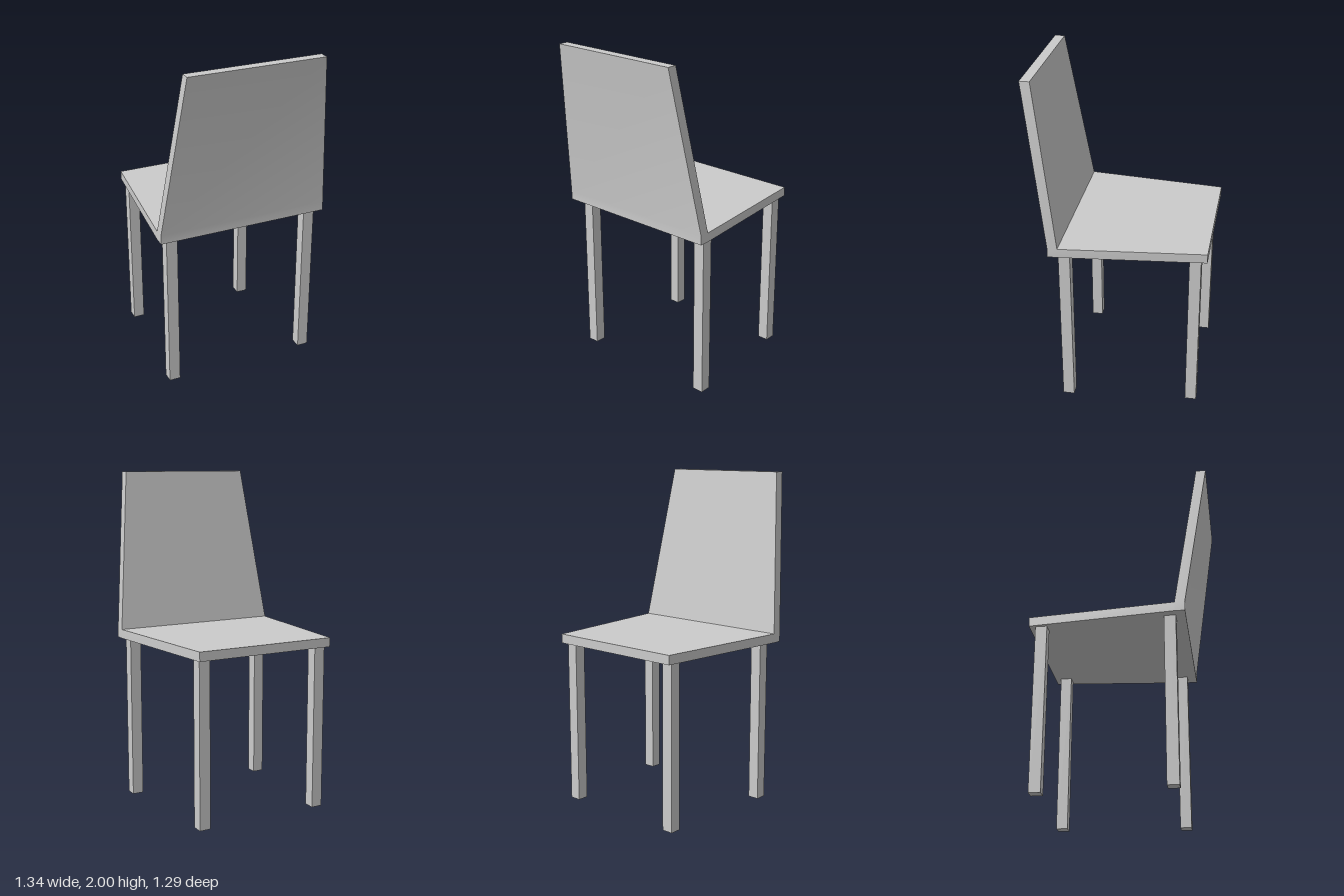
import * as THREE from 'three';
import { toCreasedNormals } from 'three/addons/utils/BufferGeometryUtils.js';

// Side profile of seat and backrest: [depth z, height y, half width]
const PROFILE = [
  [-0.52, 0.99, 0.434], [0.331, 0.99, 0.519], [0.39, 0.99, 0.519], [0.39, 1.045, 0.519],
  [0.533, 2, 0.408], [0.474, 2, 0.408], [0.331, 1.045, 0.519], [-0.52, 1.045, 0.434],
];
const SIDE_QUADS = [[0, 1, 6, 7], [1, 2, 3, 6], [3, 4, 5, 6]];

function shellGeometry() {
  const positions = [];
  const point = (i, side) => [side * PROFILE[i][2], PROFILE[i][1], PROFILE[i][0]];
  const quad = (a, b, c, d) => positions.push(...a, ...b, ...c, ...a, ...c, ...d);

  // Faces running across the chair
  PROFILE.forEach((_, i) => {
    const j = (i + 1) % PROFILE.length;
    quad(point(i, -1), point(i, 1), point(j, 1), point(j, -1));
  });
  // The two tapered sides
  for (const q of SIDE_QUADS) {
    quad(...q.map((i) => point(i, -1)));
    quad(...[...q].reverse().map((i) => point(i, 1)));
  }
  const geometry = new THREE.BufferGeometry();
  geometry.setAttribute('position', new THREE.Float32BufferAttribute(positions, 3));
  return toCreasedNormals(geometry, 0.5);
}

export function createModel() {
  const group = new THREE.Group();
  group.name = 'chair';
  const material = new THREE.MeshStandardMaterial({ color: 0xcccccc });

  // Seat and leaning backrest in one piece
  const shell = new THREE.Mesh(shellGeometry(), material);
  shell.name = 'seatAndBackrest';
  group.add(shell);

  // Four square legs
  const legGeometry = new THREE.BoxGeometry(0.068, 0.99, 0.068);
  const legs = {
    frontLegRight: [-0.387, -0.45], frontLegLeft: [0.384, -0.45],
    backLegRight: [-0.432, 0.3], backLegLeft: [0.457, 0.3],
  };
  for (const [name, [x, z]] of Object.entries(legs)) {
    const leg = new THREE.Mesh(legGeometry, material);
    leg.name = name;
    leg.position.set(x, 0.495, z);
    group.add(leg);
  }

  // The chair stands turned about its vertical axis
  group.rotation.y = 1.0015;
  group.position.set(0.001, 0, -0.002);
  const model = new THREE.Group();
  model.name = 'turnedChair';
  model.add(group);
  return model;
}
